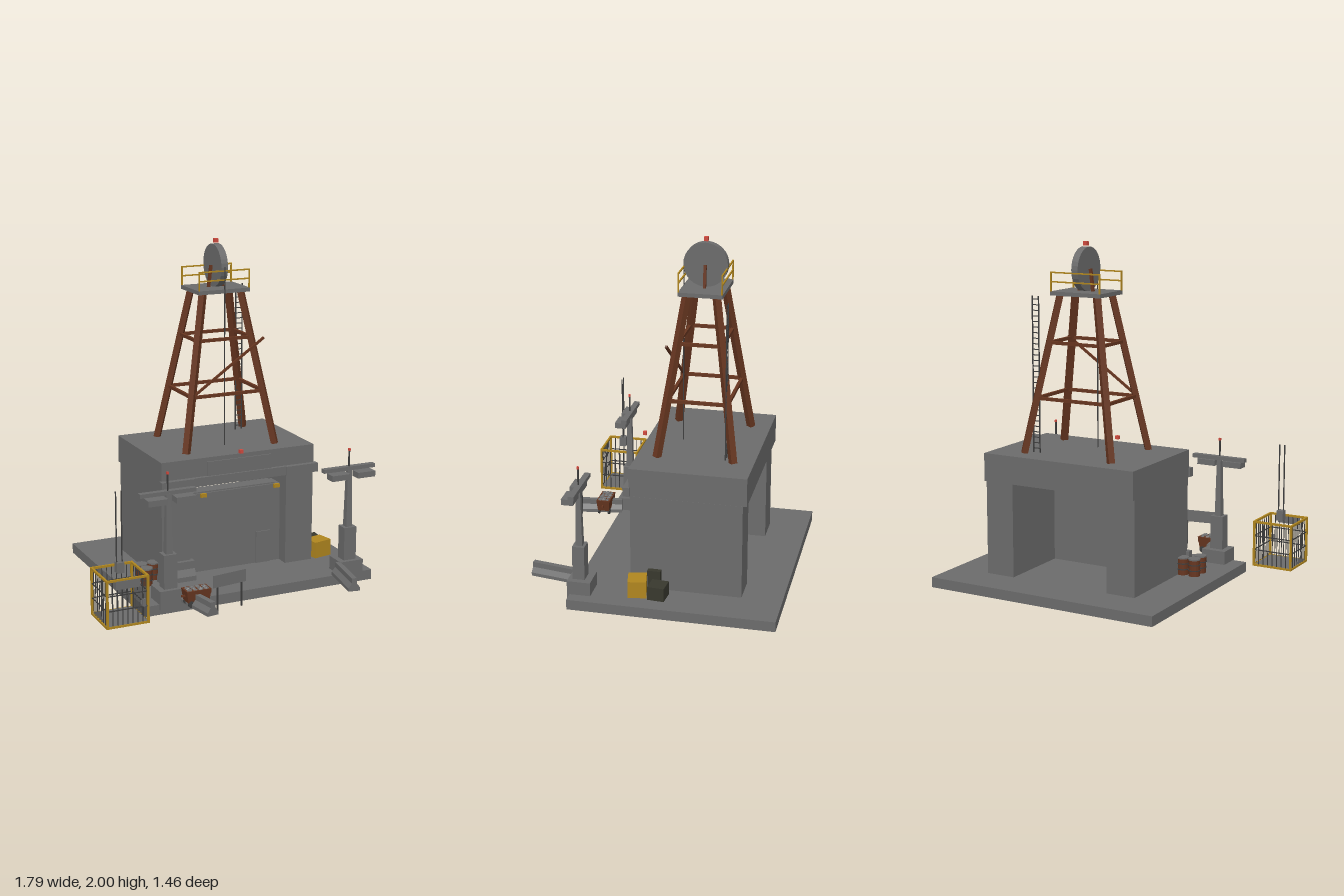
import * as THREE from 'three';

const mat = (name, color) => {
  const m = new THREE.MeshStandardMaterial({ color, flatShading: true });
  m.name = name;
  return m;
};

export function createModel() {
  const concrete = mat('concrete', 0x6c6c6c);
  const steel = mat('dark steel', 0x3e3e3e);
  const rust = mat('rusted steel', 0x673620);
  const yellow = mat('safety yellow', 0xb0861f);
  const crate = mat('dark crate', 0x38382e);
  const red = mat('signal red', 0xd04a3e);

  const root = new THREE.Group();
  const group = (name, parent = root) => {
    const g = new THREE.Group();
    g.name = name;
    parent.add(g);
    return g;
  };
  const add = (name, geo, m, parent, x = 0, y = 0, z = 0) => {
    const mesh = new THREE.Mesh(geo, m);
    mesh.name = name;
    mesh.position.set(x, y, z);
    parent.add(mesh);
    return mesh;
  };
  // Box given by its limits on each axis
  const span = (name, m, parent, x0, x1, y0, y1, z0, z1) =>
    add(name, new THREE.BoxGeometry(x1 - x0, y1 - y0, z1 - z0), m, parent,
      (x0 + x1) / 2, (y0 + y1) / 2, (z0 + z1) / 2);
  // Square bar between two points
  const beam = (name, m, parent, a, b, w) => {
    const p = new THREE.Vector3(...a), q = new THREE.Vector3(...b);
    const mesh = add(name, new THREE.BoxGeometry(w, w, p.distanceTo(q)), m, parent);
    mesh.position.copy(p).add(q).multiplyScalar(0.5);
    mesh.lookAt(q);
    return mesh;
  };
  const MID = 0.14; // centre line of the site

  span('groundSlab', concrete, root, -0.59, 0.868, 0, 0.06, -0.732, 0.453);

  // Gatehouse: two walls, roof block and a recessed gate
  const house = group('gatehouse');
  span('rightWall', concrete, house, -0.352, -0.172, 0.005, 0.62, -0.5, 0.14);
  span('leftWall', concrete, house, 0.452, 0.631, 0.005, 0.62, -0.5, 0.14);
  span('roofBlock', concrete, house, -0.355, 0.63, 0.62, 0.785, -0.522, 0.147);
  span('lintelPanel', concrete, house, -0.07, 0.343, 0.675, 0.76, 0.14, 0.156);
  span('lintelBeam', concrete, house, -0.165, 0.435, 0.622, 0.675, 0.14, 0.168);
  for (const s of [-1, 1])
    span('lintelCorner', concrete, house, MID + s * 0.4 - 0.105, MID + s * 0.4 + 0.105, 0.622, 0.675, 0.14, 0.178);
  span('gate', concrete, house, -0.172, 0.452, 0.005, 0.542, -0.05, 0.06);
  span('gateTop', concrete, house, -0.14, 0.42, 0.542, 0.55, -0.04, 0.05);
  span('smallDoor', concrete, house, 0.293, 0.385, 0.06, 0.257, 0.06, 0.068);
  for (const x of [-0.1, 0.374])
    span('gateLamp', yellow, house, x - 0.018, x + 0.018, 0.555, 0.577, 0.157, 0.175);
  span('roofSignal', red, house, 0.128, 0.149, 0.793, 0.814, 0.16, 0.181);

  // Headframe: splayed legs with ring braces
  const tower = group('headframe');
  const TX = 0.14, TZ = -0.187;
  const corner = (y, sx, sz) => {
    const t = (y - 0.785) / 0.91;
    return [TX + sx * (0.288 - 0.166 * t), y, TZ + sz * (0.218 - 0.133 * t)];
  };
  for (const sx of [-1, 1]) for (const sz of [-1, 1])
    beam('towerLeg', rust, tower, corner(0.785, sx, sz), corner(1.7, sx, sz), 0.036);
  for (const y of [1.105, 1.425]) for (const s of [-1, 1]) {
    beam('crossBrace', rust, tower, corner(y, -1, s), corner(y, 1, s), 0.018);
    beam('sideBrace', rust, tower, corner(y, s, -1), corner(y, s, 1), 0.018);
  }
  beam('looseDiagonal', rust, tower, [-0.08, 1.115, -0.01], [0.37, 1.425, -0.01], 0.013);

  // Top platform, railed along its front and back
  span('platform', concrete, tower, -0.025, 0.303, 1.695, 1.718, -0.312, -0.06);
  const rail = group('railing', tower);
  for (const z of [-0.308, -0.064]) {
    for (const x of [-0.021, 0.299])
      span('railPost', yellow, rail, x - 0.004, x + 0.004, 1.718, 1.826, z - 0.004, z + 0.004);
    for (const y of [1.773, 1.826])
      span('longRail', yellow, rail, -0.025, 0.303, y - 0.004, y + 0.004, z - 0.004, z + 0.004);
  }

  // Winding wheel, its bearing frame and the hoist cable
  const wheel = add('windingWheel', new THREE.CylinderGeometry(0.126, 0.126, 0.042, 32), concrete, tower, TX, 1.844, TZ);
  wheel.rotation.z = Math.PI / 2;
  for (const s of [-1, 1])
    beam('wheelBearing', rust, tower, [TX + s * 0.046, 1.715, TZ], [TX + s * 0.03, 1.845, TZ], 0.016);
  span('topSignal', red, tower, TX - 0.012, TX + 0.012, 1.976, 2, TZ - 0.012, TZ + 0.012);
  span('hoistCable', steel, tower, TX - 0.0025, TX + 0.0025, 0.785, 1.85, -0.0625, -0.0575);

  // Ladder
  const ladder = group('ladder');
  for (const x of [0.354, 0.396])
    span('ladderRail', steel, ladder, x - 0.003, x + 0.003, 0.785, 1.693, -0.358, -0.352);
  for (let y = 0.81; y < 1.69; y += 0.032)
    span('rung', steel, ladder, 0.354, 0.396, y - 0.0025, y + 0.0025, -0.3575, -0.3525);

  // Barrier: a tapered concrete wall section running along z
  const barrier = (name, len, h, wBase, wTop, parent) => {
    const s = new THREE.Shape([[-wBase, 0], [wBase, 0], [wBase, h * 0.25], [wTop, h * 0.6],
      [wTop, h], [-wTop, h], [-wTop, h * 0.6], [-wBase, h * 0.25]].map(p => new THREE.Vector2(...p)));
    return add(name, new THREE.ExtrudeGeometry(s, { depth: len, bevelEnabled: false }), concrete, parent);
  };
  const wallBarrier = barrier('wallBarrier', 0.215, 0.115, 0.04, 0.02, root);
  wallBarrier.rotation.y = Math.PI / 2;
  wallBarrier.position.set(-0.37, 0.06, 0.145);

  // Floodlight masts, mirrored about the centre line
  for (const s of [-1, 1]) {
    const mast = group(s < 0 ? 'rightFloodlight' : 'leftFloodlight');
    mast.position.set(MID + 0.008 + s * 0.576, 0, 0.408);
    span('mastBase', concrete, mast, -0.075, 0.075, 0.03, 0.14, -0.075, 0.06);
    span('mastFoot', concrete, mast, -0.04, 0.04, 0.14, 0.34, -0.035, 0.035);
    const pole = add('mastPole', new THREE.CylinderGeometry(0.018, 0.028, 0.35, 4), concrete, mast, 0, 0.515, 0);
    pole.rotation.y = Math.PI / 4;
    span('crossbar', concrete, mast, -0.17, 0.17, 0.683, 0.706, -0.022, 0.012);
    for (const [x0, x1] of [[-0.14, -0.022], [0.03, 0.145]])
      span('floodlight', concrete, mast, x0, x1, 0.642, 0.676, -0.01, 0.058);
    span('antenna', steel, mast, -0.004, 0.004, 0.68, 0.805, -0.004, 0.004);
    span('mastSignal', red, mast, -0.006, 0.006, 0.8, 0.814, -0.006, 0.006);
    const b = barrier('mastBarrier', 0.285, 0.078, 0.035, 0.015, mast);
    b.position.set(-s * 0.082, 0.06, 0.035);
    b.rotation.y = -s * 0.17;
  }

  // Ore cart with a heaped load
  const cart = group('oreCart');
  cart.position.set(-0.315, 0.06, 0.54);
  const tub = add('cartTub', new THREE.CylinderGeometry(0.707, 0.6, 0.07, 4).rotateY(Math.PI / 4), rust, cart, 0, 0.065, 0);
  tub.scale.set(0.15, 1, 0.084);
  for (let i = 0; i < 12; i++)
    add('ore', new THREE.IcosahedronGeometry(0.019, 0), concrete, cart,
      -0.051 + (i % 4) * 0.034, 0.09 + (i * 5 % 3) * 0.003, -0.022 + Math.floor(i / 4) * 0.022).rotation.set(i, i * 2, 0);
  for (const x of [-0.045, 0.045]) for (const z of [-0.032, 0.032])
    add('cartWheel', new THREE.CylinderGeometry(0.02, 0.02, 0.01, 12).rotateX(Math.PI / 2), steel, cart, x, 0.022, z);
  span('cartCoupling', rust, cart, -0.09, 0.09, 0.06, 0.07, -0.006, 0.006);

  // Leaning notice board
  const sign = group('noticeBoard');
  sign.position.set(-0.173, 0, 0.67);
  sign.rotation.y = 0.14;
  span('board', concrete, sign, -0.107, 0.107, 0.203, 0.275, -0.004, 0.004);
  for (const x of [-0.075, 0.085])
    span('boardPost', steel, sign, x - 0.004, x + 0.004, 0.06, 0.21, -0.008, -0.001);

  // Hanging lift cage
  const cage = group('liftCage');
  cage.position.set(-0.773, 0, 0.541);
  const H = 0.118;
  span('cageFloor', concrete, cage, -H, H, 0.058, 0.068, -H, H);
  for (const s of [-1, 1]) {
    for (const t of [-1, 1])
      span('cagePost', yellow, cage, s * H - 0.006, s * H + 0.006, 0.056, 0.332, t * H - 0.006, t * H + 0.006);
    for (const y of [0.062, 0.326]) {
      span('cageFrameX', yellow, cage, -H, H, y - 0.006, y + 0.006, s * H - 0.006, s * H + 0.006);
      span('cageFrameZ', yellow, cage, s * H - 0.006, s * H + 0.006, y - 0.006, y + 0.006, -H, H);
    }
    for (const y of [0.155, 0.24]) {
      span('cageBandX', steel, cage, -H, H, y - 0.003, y + 0.003, s * H - 0.002, s * H + 0.002);
      span('cageBandZ', steel, cage, s * H - 0.002, s * H + 0.002, y - 0.003, y + 0.003, -H, H);
    }
    for (let i = -3; i <= 3; i++) {
      const p = i * 0.029;
      span('cageBarX', steel, cage, p - 0.002, p + 0.002, 0.06, 0.326, s * H - 0.002, s * H + 0.002);
      span('cageBarZ', steel, cage, s * H - 0.002, s * H + 0.002, 0.06, 0.326, p - 0.002, p + 0.002);
    }
    span('hoistRope', steel, cage, s * 0.016 - 0.003, s * 0.016 + 0.003, 0.38, 0.785, -0.003, 0.003);
  }
  span('cagePlate', concrete, cage, -0.07, 0.07, 0.275, 0.322, 0.119, 0.127);
  span('ropeSocket', concrete, cage, -0.021, 0.021, 0.325, 0.385, -0.021, 0.021);
  span('controlBox', concrete, cage, 0.085, 0.105, 0.155, 0.197, 0.105, 0.122);

  // Drums beside the right wall
  for (const [x, z] of [[-0.445, 0.05], [-0.445, 0.13], [-0.37, 0.05]]) {
    const drum = group('drum');
    drum.position.set(x, 0.06, z);
    add('drumBody', new THREE.CylinderGeometry(0.034, 0.034, 0.1, 16), rust, drum, 0, 0.05, 0);
    for (const y of [0.034, 0.068])
      add('drumHoop', new THREE.CylinderGeometry(0.037, 0.037, 0.006, 16), steel, drum, 0, y, 0);
    add('drumLid', new THREE.CylinderGeometry(0.036, 0.036, 0.008, 16), concrete, drum, 0, 0.1, 0);
  }

  // Equipment by the left wall
  const generator = span('generator', yellow, root, 0.645, 0.765, 0.06, 0.16, 0.03, 0.135);
  generator.rotation.y = 0.2;
  const box = span('supplyCrate', crate, root, 0.673, 0.773, 0.06, 0.14, -0.09, 0.008);
  box.rotation.y = -0.08;
  span('wallCabinet', crate, root, 0.63, 0.662, 0.06, 0.185, -0.04, 0.035);

  return root;
}
